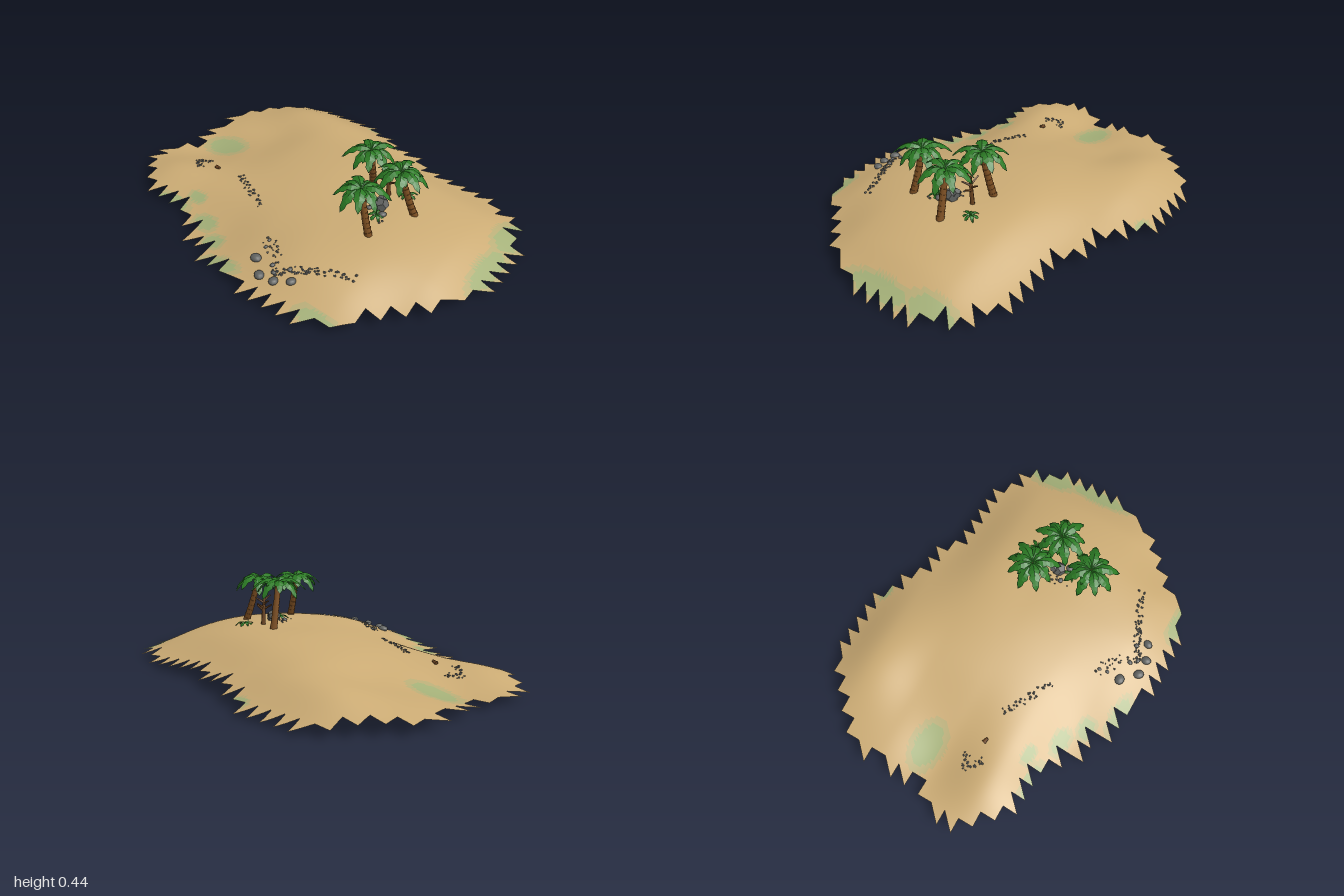
import * as THREE from 'three';

const mat = (name, color, extra = {}) => Object.assign(new THREE.MeshStandardMaterial({ color, ...extra }), { name });
const both = { side: THREE.DoubleSide };

// Ground heights on a coarse 9 x 7 lattice (x from -1 to 1, z from -0.78 to 0.78)
const HEIGHTS = [
  [.02, .02, .03, .03, .03, .03, .03, .03, .02],
  [.03, .08, .145, .155, .125, .085, .055, .035, .02],
  [.05, .085, .115, .175, .195, .19, .165, .115, .025],
  [.05, .05, .11, .17, .20, .20, .195, .145, .03],
  [.05, .105, .115, .135, .165, .185, .18, .125, .035],
  [.02, .035, .02, .04, .10, .14, .12, .045, .02],
  [.01, .01, .01, .01, .035, .045, .03, .01, .01],
];
const clamp = THREE.MathUtils.clamp;

function spline(v, t) {
  const i = clamp(Math.floor(t), 0, v.length - 2), f = t - i;
  const at = k => v[clamp(k, 0, v.length - 1)];
  const a = at(i - 1), b = at(i), c = at(i + 1), d = at(i + 2);
  return b + 0.5 * f * (c - a + f * (2 * a - 5 * b + 4 * c - d + f * (3 * (b - c) + d - a)));
}
const ground = (x, z) => Math.max(0, spline(HEIGHTS.map(r => spline(r, (x + 1) * 4)), (z + 0.78) / 0.26));

// First and last cell of each row for the upper-left and lower-right triangles
const ROWS = [
  [0, -1, 6, 10], [5, 11, 5, 12], [4, 13, 4, 15], [3, 16, 3, 21], [2, 22, 2, 23],
  [2, 24, 1, 23], [2, 24, 2, 24], [2, 25, 1, 24], [2, 25, 1, 24], [2, 25, 2, 24],
  [1, 25, 1, 24], [1, 25, 0, 24], [1, 24, 0, 24], [1, 24, 1, 23], [2, 23, 2, 23],
  [3, 22, 6, 22], [7, 21, 8, 21], [8, 20, 10, 20], [10, 20, 12, 19], [14, 18, 0, -1],
];

// Mossy patches: x, z, radius x, radius z
const MOSS = [
  [-.7, -.08, .14, .085], [.9, -.27, .08, .15], [.92, 0, .06, .2], [-.6, .44, .12, .04], [-.5, .37, .06, .035],
  [-.36, .47, .08, .05], [-.24, .55, .07, .05], [-.1, .66, .12, .05], [.47, .7, .12, .05], [-.12, -.7, .06, .035],
];
const moss = (x, z) => Math.min(...MOSS.map(([a, b, r, s]) => Math.hypot((x - a) / r, (z - b) / s)));

// Sandy sheet with a saw-toothed rim
function island(materials) {
  const NX = 26, NZ = 20, S = 2 / NX, SUB = 4, pos = [], sets = [[], [], []], ids = new Map();
  const vert = (u, v) => {
    const key = u + '_' + v;
    if (!ids.has(key)) {
      const x = -1 + u * S / SUB, z = -NZ * S / 2 + v * S / SUB;
      ids.set(key, pos.length / 3);
      pos.push(x, ground(x, z), z);
    }
    return ids.get(key);
  };
  const face = (...c) => {
    const ix = c.map(p => vert(...p));
    const mx = ix.reduce((s, i) => s + pos[3 * i] / 3, 0), mz = ix.reduce((s, i) => s + pos[3 * i + 2] / 3, 0);
    const m = moss(mx, mz);
    sets[m < .75 ? 2 : m < 1.05 ? 1 : 0].push(...ix);
  };
  // Each big triangle is split evenly; d = 1 for upper-left, -1 for lower-right
  const big = (u, v, d) => {
    for (let a = 0; a < SUB; a++) for (let b = 0; b < SUB - a; b++) {
      const p = (i, j) => [u + d * i, v + d * j];
      face(p(a, b), p(a, b + 1), p(a + 1, b));
      if (a + b < SUB - 1) face(p(a + 1, b), p(a, b + 1), p(a + 1, b + 1));
    }
  };
  ROWS.forEach(([ua, ub, la, lb], k) => {
    for (let c = ua; c <= ub; c++) big(c * SUB, k * SUB, 1);
    for (let c = la; c <= lb; c++) big((c + 1) * SUB, (k + 1) * SUB, -1);
  });
  const g = new THREE.BufferGeometry();
  g.setAttribute('position', new THREE.Float32BufferAttribute(pos, 3));
  g.setIndex(sets.flat());
  let start = 0;
  sets.forEach((s, i) => { g.addGroup(start, s.length, i); start += s.length; });
  g.computeVertexNormals();
  return new THREE.Mesh(g, materials);
}

// Folded, drooping frond with a toothed edge, running along +x
function frondGeometry(len, width) {
  const N = 8, pos = [], idx = [];
  for (let i = 0; i <= N; i++) {
    const t = i / N, r = t * len, y = len * (0.95 * t - 1.3 * t * t);
    const w = width * Math.pow(Math.sin(Math.PI * (0.06 + 0.94 * t)), 0.7) * (i % 2 ? 1.1 : 0.8);
    pos.push(r, y, 0, r + 0.006, y - w * 0.5, w, r + 0.006, y - w * 0.5, -w);
    if (i < N) {
      const a = 3 * i, b = a + 3;
      idx.push(a, a + 1, b, a + 1, b + 1, b, a, b, a + 2, a + 2, b, b + 2);
    }
  }
  const g = new THREE.BufferGeometry();
  g.setAttribute('position', new THREE.Float32BufferAttribute(pos, 3));
  g.setIndex(idx);
  const flat = g.toNonIndexed();
  flat.computeVertexNormals();
  return flat;
}

export function createModel() {
  const root = new THREE.Group();
  const sand = mat('sand', 0xcbab74, both), mixed = mat('mossySand', 0xb9ad77, both), green = mat('moss', 0xa4b078, both);
  const bark = mat('bark', 0x7d4f22), deadWood = mat('deadWood', 0x6a4320);
  const leaf = mat('leaf', 0x2b7a24, both), stone = mat('stone', 0x5f615f);
  let seed = 7;
  const rnd = () => (seed = (seed * 16807) % 2147483647) / 2147483647;
  const add = (name, geo, m, parent = root) => {
    const mesh = new THREE.Mesh(geo, m);
    mesh.name = name;
    parent.add(mesh);
    return mesh;
  };

  const land = island([sand, mixed, green]);
  land.name = 'island';
  root.add(land);

  const frond = frondGeometry(0.135, 0.028), innerFrond = frondGeometry(0.085, 0.02), smallFrond = frondGeometry(0.045, 0.01);
  const crown = (parent, geo, count, x, y, z, turn, tilt) => {
    for (let i = 0; i < count; i++) {
      const f = add('frond', geo, leaf, parent);
      f.position.set(x, y, z);
      f.rotation.set(0, turn + i * 2 * Math.PI / count, tilt + (i % 2 ? 0.1 : -0.12), 'YXZ');
      f.scale.setScalar(i % 3 ? 0.97 : 0.88);
    }
  };

  // Palms: base x, z and crown x, y, z
  [[.24, -.1, .255, .425, -.045], [.525, -.01, .45, .412, .01], [.43, .235, .37, .405, .215]].forEach(([bx, bz, x, y, z], n) => {
    const palm = new THREE.Group();
    palm.name = 'palm';
    root.add(palm);
    const by = ground(bx, bz) - 0.01;
    const path = new THREE.QuadraticBezierCurve3(new THREE.Vector3(bx, by, bz),
      new THREE.Vector3(bx * .45 + x * .55, (by + y) / 2 - .02, (bz + z) / 2), new THREE.Vector3(x, y, z));
    // Stacked flared rings form the trunk
    const rings = 9;
    for (let i = 0; i < rings; i++) {
      const a = path.getPoint(i / rings), b = path.getPoint((i + 1) / rings), r = 0.019 - 0.005 * i / rings;
      const ring = add('trunkRing', new THREE.CylinderGeometry(r * 1.03, r * 0.92, a.distanceTo(b) * 1.08, 10), bark, palm);
      ring.position.copy(a).lerp(b, 0.5);
      ring.quaternion.setFromUnitVectors(new THREE.Vector3(0, 1, 0), b.clone().sub(a).normalize());
    }
    crown(palm, frond, 9, x, y, z, n * 0.7 + 0.3, 0);
    crown(palm, innerFrond, 6, x, y, z, n * 0.7 + 0.6, 0.2);
  });

  // Low plants
  [[.43, -.11], [.39, .11]].forEach(([x, z], n) => crown(root, smallFrond, 7, x, ground(x, z) + .008, z, n, 0));

  // Bare dead tree
  const stick = (name, a, b, r) => {
    const p = new THREE.Vector3(...a), q = new THREE.Vector3(...b);
    const s = add(name, new THREE.CylinderGeometry(r * 0.6, r, p.distanceTo(q), 6), deadWood);
    s.position.copy(p).lerp(q, 0.5);
    s.quaternion.setFromUnitVectors(new THREE.Vector3(0, 1, 0), q.sub(p).normalize());
  };
  stick('deadTrunk', [.35, .19, -.06], [.35, .345, -.05], .012);
  for (let i = 0; i < 7; i++) {
    const a = i * 2.4, y = .27 + i * .009;
    stick('deadBranch', [.35, y, -.055], [.35 + .045 * Math.cos(a), y + .025, -.055 + .04 * Math.sin(a)], .006);
  }
  stick('driftwood', [-.56, ground(-.56, .16) + .005, .155], [-.535, ground(-.535, .16) + .008, .162], .011);

  // Stones
  const round = new THREE.SphereGeometry(1, 12, 8), pebble = new THREE.IcosahedronGeometry(1, 0);
  const put = (name, geo, x, z, r, flat) => {
    const s = add(name, geo, stone);
    s.position.set(x, ground(x, z) + r * 0.25, z);
    s.scale.set(r, r * flat, r * 0.85);
    s.rotation.y = rnd() * 6;
  };
  [[.05, .575, .028], [.125, .645, .027], [.205, .645, .025], [.28, .615, .024], [.15, .58, .013], [.18, .61, .012], [.24, .57, .013],
    [.05, .505, .01], [.04, .465, .01], [.33, .08, .014], [.41, .09, .02]].forEach(([x, z, r]) => put('stone', round, x, z, r, .6));
  const boulder = add('boulder', new THREE.DodecahedronGeometry(.037, 0), stone);
  boulder.position.set(.375, ground(.375, .045) + .018, .045);
  const cap = add('boulderTop', new THREE.DodecahedronGeometry(.026, 0), stone);
  cap.position.set(.365, ground(.375, .03) + .03, .025);

  // Pebble trails: start x, z, end x, z, count, spread
  [[-.39, .16, -.15, .3, 36, .016], [-.71, .14, -.63, .1, 12, .015], [-.71, .14, -.63, .2, 14, .014], [.04, .47, .2, .6, 26, .035],
    [.17, .61, .32, .54, 30, .02], [.3, .55, .5, .46, 32, .018], [.31, .04, .42, .11, 16, .05]].forEach(([x0, z0, x1, z1, n, w]) => {
    for (let i = 0; i < n; i++) {
      const t = (i + rnd()) / n;
      put('pebble', pebble, x0 + (x1 - x0) * t + (rnd() - .5) * 2 * w, z0 + (z1 - z0) * t + (rnd() - .5) * 2 * w, .004 + .004 * rnd(), .7);
    }
  });
  return root;
}
